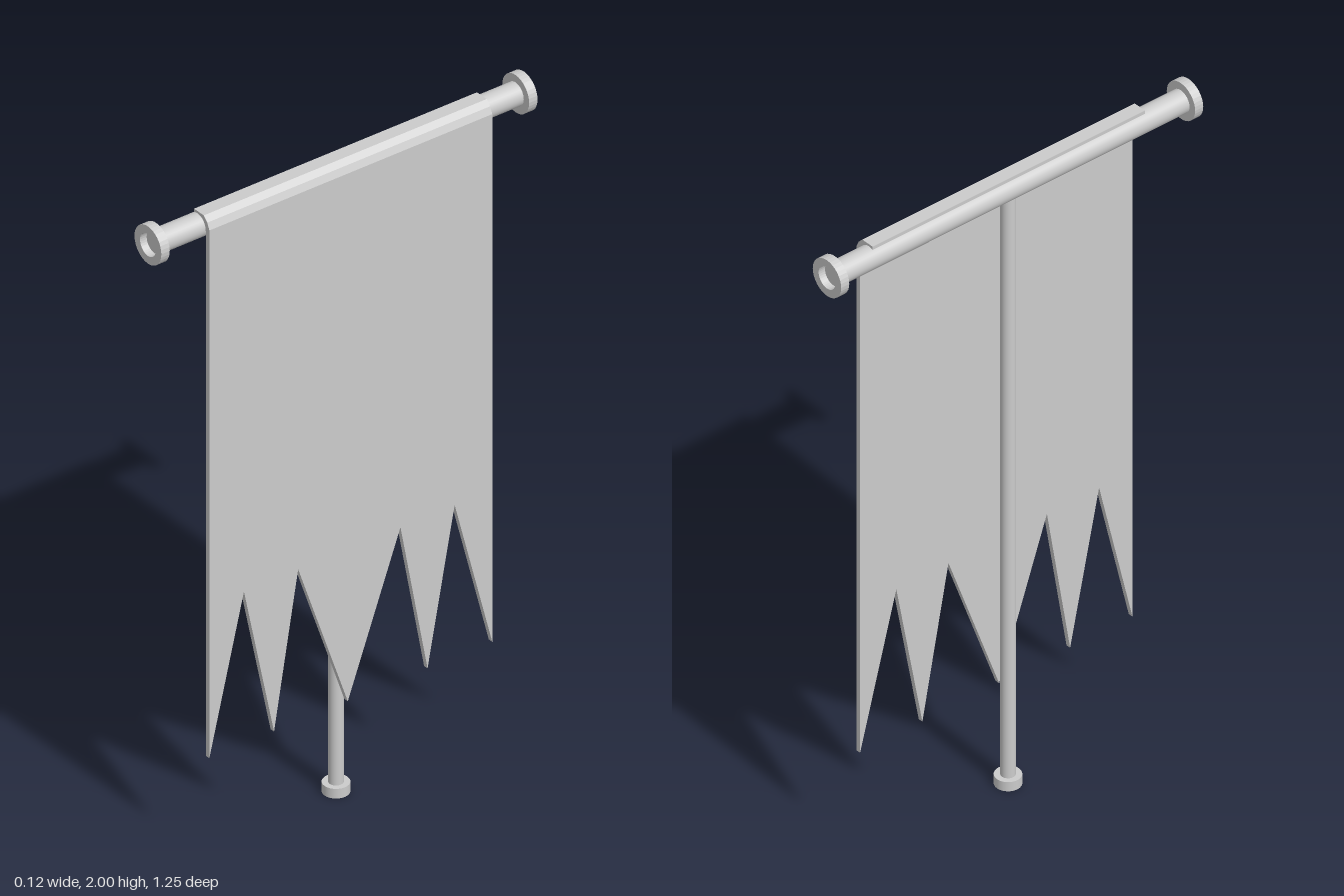
import * as THREE from 'three';

const ROD_Y = 1.943;

export function createModel() {
  const group = new THREE.Group();
  const material = new THREE.MeshStandardMaterial({ color: 0xcccccc });

  const add = (name, geometry) => {
    const mesh = new THREE.Mesh(geometry, material);
    mesh.name = name;
    group.add(mesh);
    return mesh;
  };
  const toShape = (points) => new THREE.Shape(points.map(([x, y]) => new THREE.Vector2(x, y)));

  // Upright pole on a small round foot
  add('pole', new THREE.CylinderGeometry(0.021, 0.021, 1.91, 24)).position.y = 0.975;
  add('foot', new THREE.CylinderGeometry(0.038, 0.038, 0.03, 24)).position.y = 0.015;

  // Crossbar running front to back
  const bar = add('crossbar', new THREE.CylinderGeometry(0.035, 0.035, 1.206, 32));
  bar.rotation.x = Math.PI / 2;
  bar.position.y = ROD_Y;

  // Ring caps, with the bar's end recessed inside each
  for (const side of [1, -1]) {
    const ring = new THREE.Shape().absarc(0, 0, 0.058, 0, Math.PI * 2);
    ring.holes.push(new THREE.Path().absarc(0, 0, 0.034, 0, Math.PI * 2, true));
    const cap = add(side > 0 ? 'frontCap' : 'backCap',
      new THREE.ExtrudeGeometry(ring, { depth: 0.028, bevelEnabled: false, curveSegments: 16 }));
    cap.position.set(0, ROD_Y, side > 0 ? 0.597 : -0.625);
  }

  // Hanging cloth: profile in z and y with pointed tails, thin along x
  const cloth = new THREE.ExtrudeGeometry(toShape([
    [-0.48, 1.95], [-0.48, 0.305], [-0.355, 0.78], [-0.265, 0.305], [-0.175, 0.78],
    [0, 0.305],
    [0.165, 0.78], [0.245, 0.305], [0.345, 0.78], [0.46, 0.305], [0.46, 1.95],
  ]), { depth: 0.015, bevelEnabled: false });
  cloth.rotateY(-Math.PI / 2);
  add('cloth', cloth).position.x = 0.051;

  // Fold of cloth lying over the crossbar
  const fold = new THREE.ExtrudeGeometry(toShape([
    [0.036, 1.94], [0.051, 1.94], [0.051, 1.95], [0.042, 1.97], [0.027, 1.985],
    [-0.015, 1.985], [-0.015, 1.973], [0.018, 1.97],
  ]), { depth: 0.94, bevelEnabled: false });
  add('clothFold', fold).position.z = -0.48;

  return group;
}
